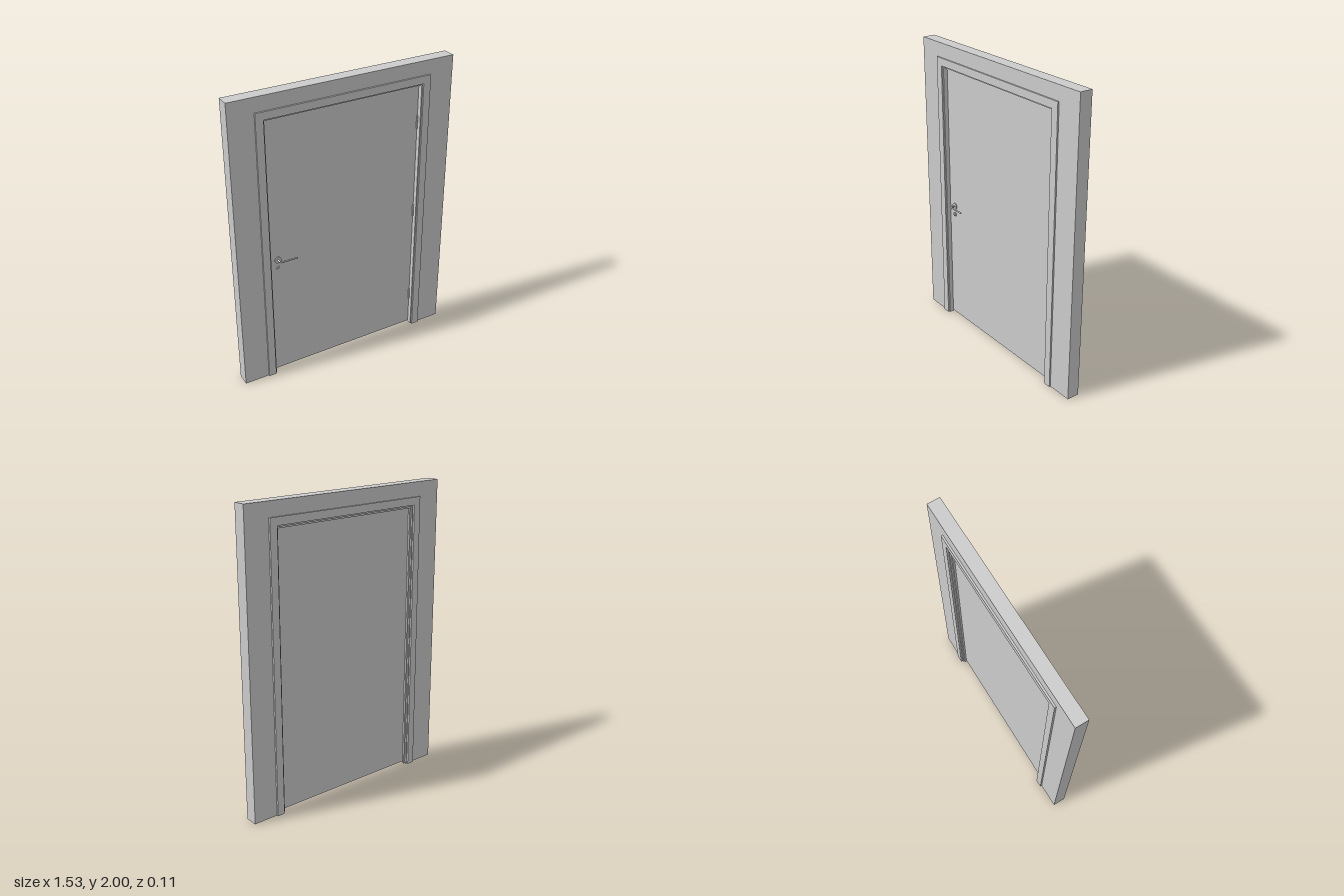
import * as THREE from 'three';

const grey = new THREE.MeshStandardMaterial({ color: 0xcccccc });

function add(parent, name, geometry) {
  const mesh = new THREE.Mesh(geometry, grey);
  mesh.name = name;
  parent.add(mesh);
  return mesh;
}

// Box given by its limits on each axis
function block(parent, name, x0, x1, y0, y1, z0, z1) {
  const mesh = add(parent, name, new THREE.BoxGeometry(x1 - x0, y1 - y0, z1 - z0));
  mesh.position.set((x0 + x1) / 2, (y0 + y1) / 2, (z0 + z1) / 2);
  return mesh;
}

// Prism from a front outline, between two depths
function slab(parent, name, points, z0, z1) {
  const shape = new THREE.Shape(points.map(([x, y]) => new THREE.Vector2(x, y)));
  const geometry = new THREE.ExtrudeGeometry(shape, { depth: z1 - z0, bevelEnabled: false });
  add(parent, name, geometry).position.z = z0;
}

// Three-sided border (two posts and a head), mitred at the top corners
function border(parent, name, outX, outY, inX, inY, z0, z1) {
  const group = new THREE.Group();
  group.name = name;
  for (const s of [-1, 1]) {
    slab(group, s < 0 ? 'rightPost' : 'leftPost',
      [[s * outX, 0], [s * inX, 0], [s * inX, inY], [s * outX, outY]], z0, z1);
  }
  slab(group, 'head', [[-outX, outY], [-inX, inY], [inX, inY], [outX, outY]], z0, z1);
  parent.add(group);
}

// Disc or rod whose axis runs along z, starting at depth z0
function knob(parent, name, r, x, y, z0, z1, sides = 32) {
  const mesh = add(parent, name, new THREE.CylinderGeometry(r, r, z1 - z0, sides));
  mesh.rotation.x = Math.PI / 2;
  mesh.position.set(x, y, (z0 + z1) / 2);
  return mesh;
}

export function createModel() {
  const model = new THREE.Group();
  model.name = 'doorInWall';

  // Wall in three pieces around the opening
  const wall = new THREE.Group();
  wall.name = 'wall';
  block(wall, 'wallRight', -0.765, -0.555, 0, 2, -0.045, 0.041);
  block(wall, 'wallLeft', 0.555, 0.765, 0, 2, -0.045, 0.041);
  block(wall, 'wallTop', -0.555, 0.555, 1.865, 2, -0.045, 0.041);
  model.add(wall);

  // Casing on both faces, lining through the wall, and the door stop
  border(model, 'frontCasing', 0.597, 1.905, 0.546, 1.854, 0.041, 0.051);
  border(model, 'backCasing', 0.597, 1.905, 0.546, 1.854, -0.057, -0.045);
  border(model, 'lining', 0.556, 1.866, 0.538, 1.844, -0.045, 0.041);
  border(model, 'doorStop', 0.538, 1.844, 0.527, 1.833, -0.034, -0.021);

  // Door leaf
  const front = 0.014;
  block(model, 'doorLeaf', -0.535, 0.535, 0.013, 1.84, -0.02, front);

  // Hinges: knuckle in three segments with a narrow leaf
  for (const y of [0.255, 0.943, 1.59]) {
    const hinge = new THREE.Group();
    hinge.name = 'hinge';
    block(hinge, 'hingeLeaf', 0.528, 0.537, y - 0.044, y + 0.044, front - 0.002, front + 0.002);
    for (const k of [-1, 0, 1]) {
      const knuckle = add(hinge, 'hingeKnuckle', new THREE.CylinderGeometry(0.005, 0.005, 0.029, 16));
      knuckle.position.set(0.532, y + k * 0.03, front + 0.003);
    }
    model.add(hinge);
  }

  // Lever handle with round rose
  const handle = new THREE.Group();
  handle.name = 'handle';
  const hx = -0.48, hy = 0.872;
  knob(handle, 'rose', 0.022, hx, hy, front, front + 0.007);
  const path = new THREE.CurvePath();
  const z = 0.0515, bend = 0.012;
  path.add(new THREE.LineCurve3(new THREE.Vector3(hx, hy, front), new THREE.Vector3(hx, hy, z - bend)));
  path.add(new THREE.QuadraticBezierCurve3(
    new THREE.Vector3(hx, hy, z - bend), new THREE.Vector3(hx, hy, z), new THREE.Vector3(hx + bend, hy, z)));
  path.add(new THREE.LineCurve3(new THREE.Vector3(hx + bend, hy, z), new THREE.Vector3(-0.362, hy, z)));
  add(handle, 'lever', new THREE.TubeGeometry(path, 48, 0.0055, 16));
  const tip = add(handle, 'leverTip', new THREE.SphereGeometry(0.0055, 16, 12));
  tip.position.set(-0.362, hy, z);
  model.add(handle);

  // Key escutcheon with a small cylinder lock
  const lock = new THREE.Group();
  lock.name = 'keyEscutcheon';
  knob(lock, 'escutcheonRose', 0.014, hx, 0.81, front, front + 0.007);
  knob(lock, 'lockCylinder', 0.005, hx, 0.812, front + 0.006, front + 0.009, 16);
  block(lock, 'lockBody', hx - 0.0025, hx + 0.0025, 0.802, 0.812, front + 0.006, front + 0.009);
  model.add(lock);

  return model;
}
